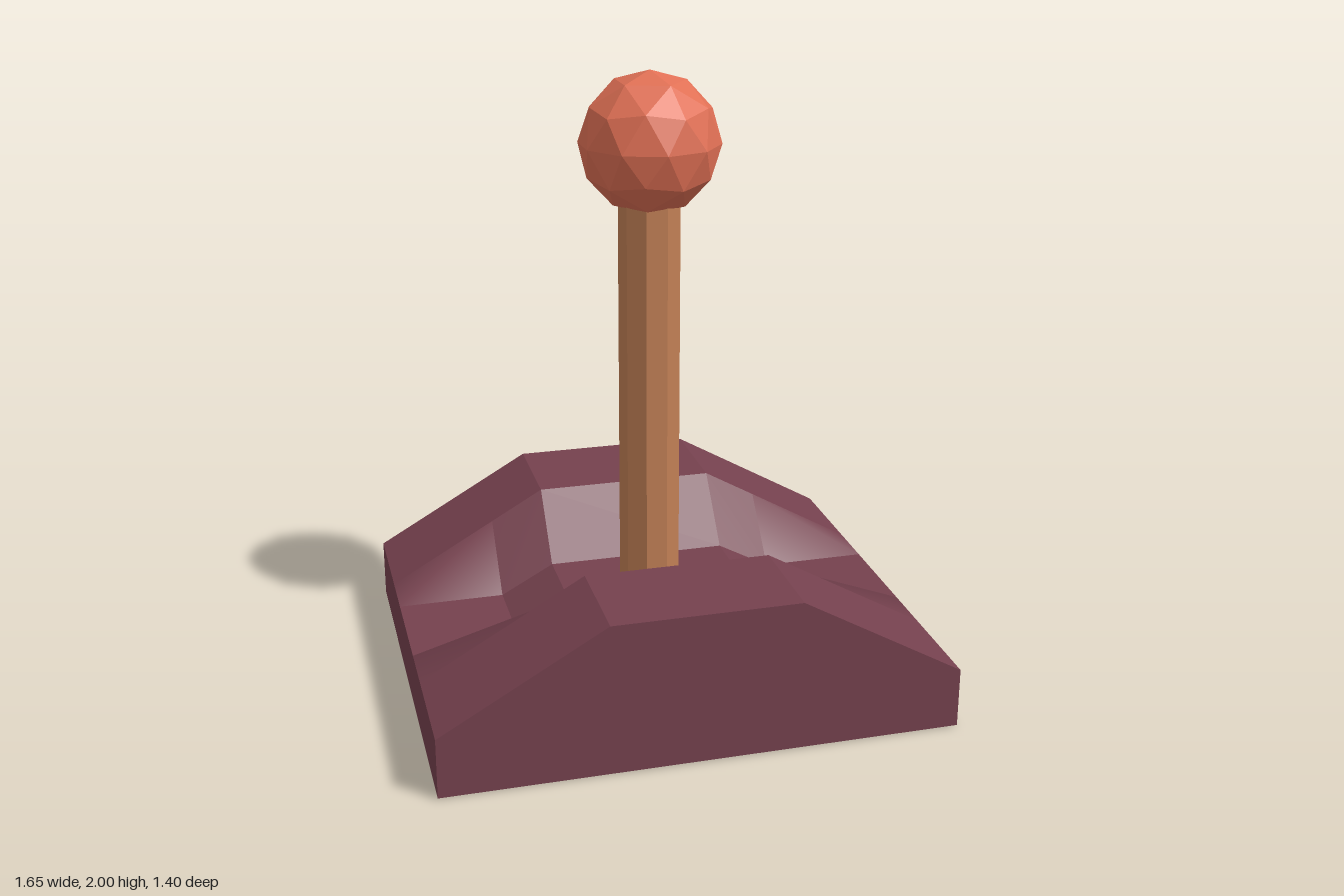
import * as THREE from 'three';

const material = (name, color, flatShading = false) => {
  const m = new THREE.MeshStandardMaterial({ color, flatShading });
  m.name = name;
  return m;
};

// Ramped base with a sloping channel through the middle, as a grid of quads
function baseGeometry() {
  const xs = [-0.825, -0.475, -0.3, 0.3, 0.475, 0.825];
  const zs = [-0.7, -0.353, -0.177, 0.177, 0.353, 0.7];
  const ridge = [0.2, 0.4, 0.5, 0.5, 0.4, 0.2];
  const valley = [0.2, 0.2, 0.295, 0.295, 0.2, 0.2];
  const floor = 0.004;
  const pos = [], index = [];
  const top = (i, j) => [xs[i], (j === 2 || j === 3 ? valley : ridge)[i], zs[j]];
  const low = (i, j) => [xs[i], floor, zs[j]];

  // One facet, split along its higher diagonal
  const quad = (a, b, c, d) => {
    const n = pos.length / 3;
    pos.push(...a, ...b, ...c, ...d);
    if (a[1] + c[1] >= b[1] + d[1]) index.push(n, n + 1, n + 2, n, n + 2, n + 3);
    else index.push(n, n + 1, n + 3, n + 1, n + 2, n + 3);
  };

  for (let j = 0; j < 5; j++) {
    for (let i = 0; i < 5; i++) {
      quad(top(i, j), top(i, j + 1), top(i + 1, j + 1), top(i + 1, j));
    }
  }
  // Outer walls
  for (let k = 0; k < 5; k++) {
    quad(low(k, 5), low(k + 1, 5), top(k + 1, 5), top(k, 5));
    quad(low(k + 1, 0), low(k, 0), top(k, 0), top(k + 1, 0));
    quad(low(5, k + 1), low(5, k), top(5, k), top(5, k + 1));
    quad(low(0, k), low(0, k + 1), top(0, k + 1), top(0, k));
  }
  // Underside
  quad(low(0, 0), low(5, 0), low(5, 5), low(0, 5));

  const g = new THREE.BufferGeometry();
  g.setAttribute('position', new THREE.Float32BufferAttribute(pos, 3));
  g.setIndex(index);
  g.computeVertexNormals();
  return g;
}

// Faceted ball with a corner pointing straight up
function knobGeometry(radius) {
  const h = 1 / Math.sqrt(5), r = 2 * h;
  const verts = [0, 1, 0, 0, -1, 0], faces = [];
  for (let k = 0; k < 5; k++) {
    const a = k * Math.PI * 0.4, b = a + Math.PI * 0.2;
    verts.push(r * Math.cos(a), h, -r * Math.sin(a));
    verts.push(r * Math.cos(b), -h, -r * Math.sin(b));
  }
  for (let k = 0; k < 5; k++) {
    const n = (k + 1) % 5;
    const u = 2 + 2 * k, l = u + 1, u2 = 2 + 2 * n, l2 = u2 + 1;
    faces.push(0, u, u2, u, l, u2, l, l2, u2, 1, l2, l);
  }
  return new THREE.PolyhedronGeometry(verts, faces, radius, 1);
}

export function createModel() {
  const group = new THREE.Group();
  group.name = 'lever';
  const add = (name, geometry, mat, y = 0) => {
    const mesh = new THREE.Mesh(geometry, mat);
    mesh.name = name;
    mesh.position.y = y;
    group.add(mesh);
  };

  add('base', baseGeometry(), material('plum', 0x75414e));
  // Nine-sided shaft running right through the base
  add('shaft', new THREE.CylinderGeometry(0.1, 0.1, 1.62, 9, 1, false, Math.PI),
    material('wood', 0xc17f55, true), 0.81);
  add('knob', knobGeometry(0.225), material('coral', 0xe07055, true), 1.775);
  return group;
}
